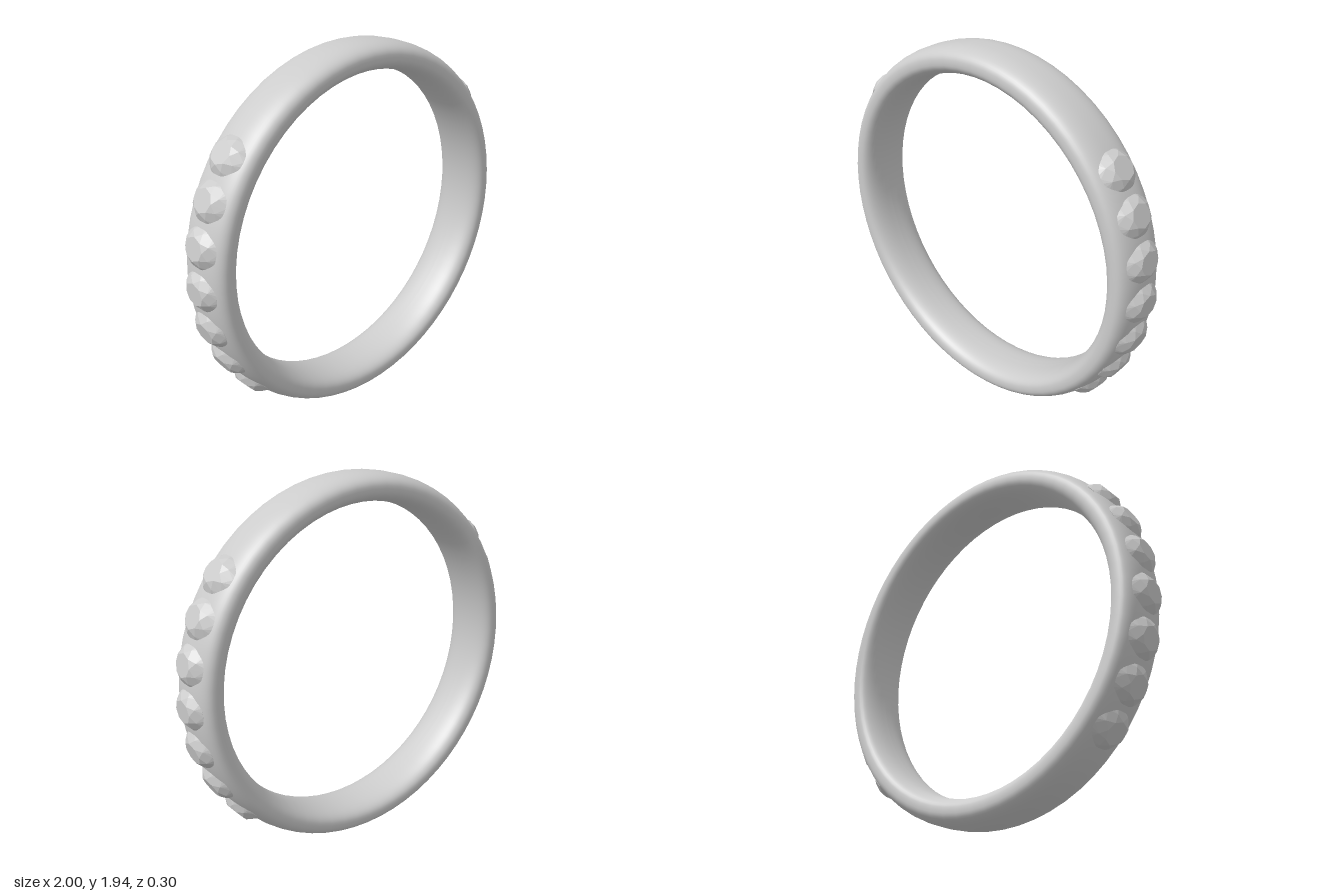
import * as THREE from 'three';

const RING_Y = 0.973;
const grey = new THREE.MeshStandardMaterial({ color: 0xcccccc });
const facetGrey = new THREE.MeshStandardMaterial({ color: 0xcccccc, flatShading: true });

// Band: rounded, domed cross-section swept around the finger axis (z)
function bandGeometry() {
  const power = (v) => Math.sign(v) * Math.pow(Math.abs(v), 2 / 2.5);
  const profile = [];
  const steps = 48;
  for (let i = 0; i <= steps; i++) {
    const t = -Math.PI + (i / steps) * Math.PI * 2;
    profile.push(new THREE.Vector2(0.8985 + 0.0735 * power(Math.cos(t)), 0.15 * power(Math.sin(t))));
  }
  return new THREE.LatheGeometry(profile, 64).rotateX(Math.PI / 2);
}

// Brilliant-cut oval stone: table, star and kite facets, girdle, pointed base; faces +y
function stoneGeometry(halfX, halfZ) {
  const positions = [];
  const at = (radius, height, turn) => {
    const a = turn * Math.PI * 2;
    return [Math.cos(a) * radius * halfX, height, Math.sin(a) * radius * halfZ];
  };
  const tri = (...corners) => corners.forEach((c) => positions.push(...c));
  const table = (k) => at(0.55, 0.045, k / 8);
  const middle = (k) => at(0.8, 0.026, (k + 0.5) / 8);
  const girdle = (j) => at(1, 0, j / 32);
  const culet = [0, -0.07, 0];
  for (let k = 0; k < 8; k++) {
    tri([0, 0.045, 0], table(k + 1), table(k));
    tri(table(k), table(k + 1), middle(k));
    tri(table(k), middle(k), girdle(k * 4));
    tri(table(k), girdle(k * 4), middle(k - 1));
    for (let j = k * 4; j < k * 4 + 4; j++) {
      tri(middle(k), girdle(j + 1), girdle(j));
      tri(culet, girdle(j), girdle(j + 1));
    }
  }
  const geometry = new THREE.BufferGeometry();
  geometry.setAttribute('position', new THREE.Float32BufferAttribute(positions, 3));
  geometry.computeVertexNormals();
  return geometry;
}

export function createModel() {
  const model = new THREE.Group();
  model.name = 'ring';

  const band = new THREE.Mesh(bandGeometry(), grey);
  band.name = 'band';
  band.position.y = RING_Y;
  model.add(band);

  // Seven stones set along each side
  const geometry = stoneGeometry(0.108, 0.116);
  for (const side of [1, -1]) {
    const row = new THREE.Group();
    row.name = side > 0 ? 'leftStones' : 'rightStones';
    row.position.y = RING_Y;
    for (let i = -3; i <= 3; i++) {
      const tilt = THREE.MathUtils.degToRad(-2.4 + i * 13.1);
      const angle = side > 0 ? tilt : Math.PI - tilt;
      const stone = new THREE.Mesh(geometry, facetGrey);
      stone.name = 'stone';
      stone.position.set(Math.cos(angle) * 0.955, Math.sin(angle) * 0.955, 0);
      stone.rotation.z = angle - Math.PI / 2;
      row.add(stone);
    }
    model.add(row);
  }
  return model;
}
